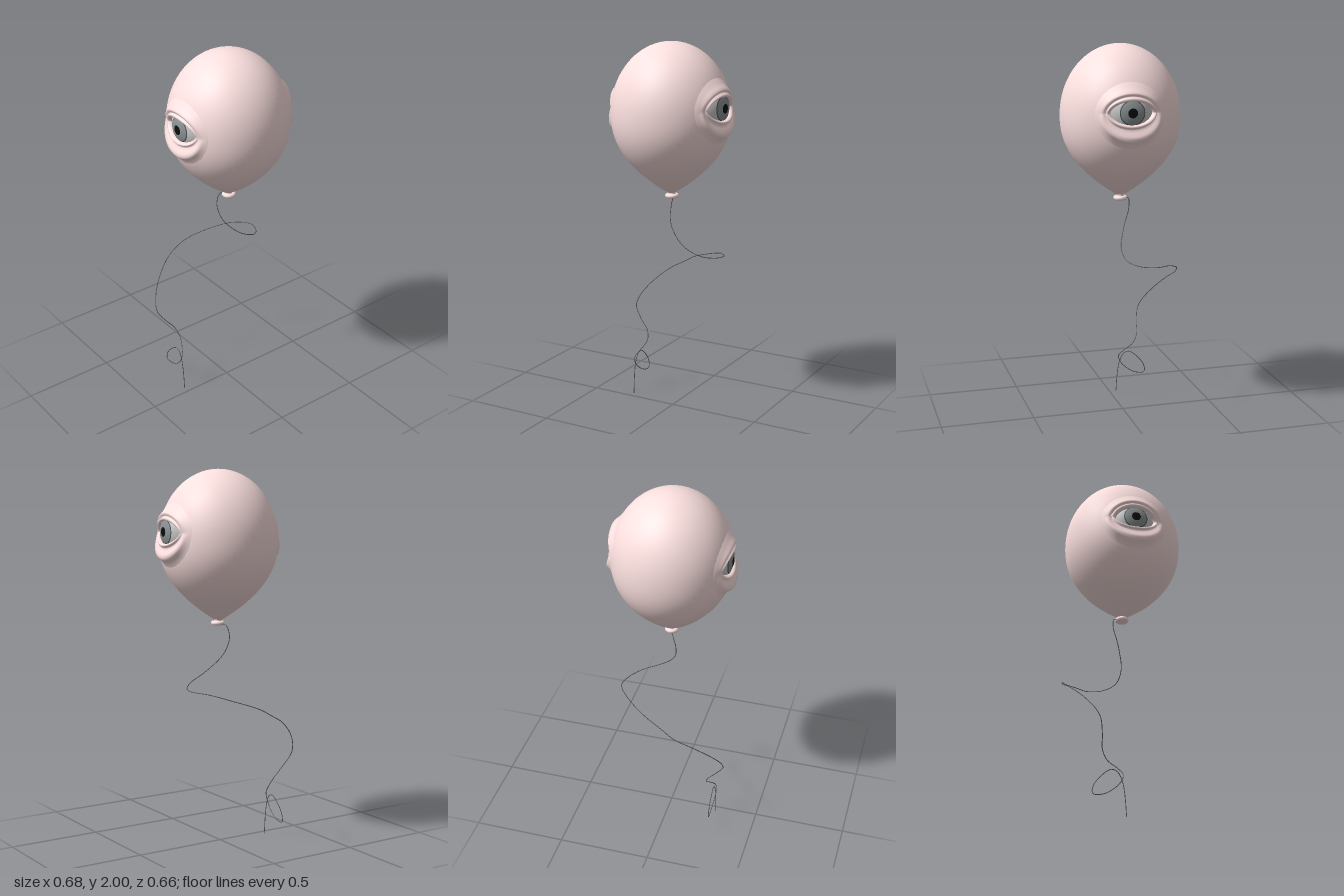
import * as THREE from 'three';

const mat = (color) => new THREE.MeshStandardMaterial({ color });
const skin = mat(0xfbe0df);
const CZ = 0.015; // balloon axis in z

// Balloon radius at height y: half ellipse above, tapering to a point below
function radius(y) {
  if (y > 1.63) return 0.315 * Math.sqrt(Math.max(0, 1 - ((y - 1.63) / 0.37) ** 2));
  return 0.315 * (1 - ((1.63 - y) / 0.435) ** 2.3);
}

// Eyes sit on both sides; turn = angle around the axis, push = extra protrusion
const eyes = [
  { name: 'left', side: 1, y: 1.675, turn: 0.07, push: 0.003 },
  { name: 'right', side: -1, y: 1.655, turn: 0.01, push: -0.008 },
];

function named(geometry, material, name) {
  const m = new THREE.Mesh(geometry, material);
  m.name = name;
  return m;
}

// Lathed balloon with an oval left open behind each eyelid patch
function balloonGeometry() {
  const pts = [];
  for (let i = 0; i < 22; i++) {
    const y = 1.2 + (0.43 * i) / 22;
    pts.push(new THREE.Vector2(radius(y), y));
  }
  for (let i = 0; i <= 22; i++) {
    const a = (i / 22) * Math.PI / 2;
    pts.push(new THREE.Vector2(0.315 * Math.cos(a), 1.63 + 0.37 * Math.sin(a)));
  }
  const g = new THREE.LatheGeometry(pts, 60);
  const p = g.attributes.position;
  const inEye = (i) => eyes.some((e) => {
    const x = p.getX(i) * e.side, z = p.getZ(i) * e.side;
    const u = (Math.atan2(z, x) - e.turn) * 0.316;
    const v = p.getY(i) - e.y + 0.02;
    return (u / 0.165) ** 2 + (v / 0.145) ** 2 < 1;
  });
  const src = g.index.array, keep = [];
  for (let k = 0; k < src.length; k += 3) {
    const tri = [src[k], src[k + 1], src[k + 2]];
    if (!tri.every(inEye)) keep.push(...tri);
  }
  g.setIndex(keep);
  return g.translate(0, 0, CZ);
}

// Eyelid rings: half width, top, bottom, relief at the top, bottom and corners
const lidRings = [
  [0.113, 0.058, 0.056, -0.045, -0.045, -0.045],
  [0.115, 0.059, 0.058, 0.004, 0.000, -0.014],
  [0.119, 0.063, 0.062, 0.016, 0.010, -0.006],
  [0.124, 0.070, 0.067, 0.023, 0.014, 0.001],
  [0.129, 0.077, 0.072, 0.022, 0.011, 0.003],
  [0.133, 0.082, 0.077, 0.012, 0.003, -0.001],
  [0.137, 0.087, 0.085, 0.014, 0.003, -0.001],
  [0.143, 0.094, 0.098, 0.023, 0.010, 0.003],
  [0.150, 0.102, 0.115, 0.024, 0.022, 0.005],
  [0.157, 0.111, 0.131, 0.018, 0.029, 0.005],
  [0.165, 0.121, 0.144, 0.012, 0.023, 0.004],
  [0.174, 0.133, 0.154, 0.006, 0.008, 0.003],
  [0.188, 0.147, 0.172, 0.002, 0.002, 0.001],
  [0.208, 0.162, 0.195, -0.004, -0.004, -0.004],
];

// Lids and bag wrapped around the balloon surface
function lidGeometry(eye) {
  const N = 72, pos = [], idx = [], last = lidRings.length - 1;
  lidRings.forEach(([a, top, bottom, dTop, dBottom, dCorner], i) => {
    const almond = 1 + 0.3 * (1 - i / last);
    const push = eye.push * (1 - i / last);
    for (let j = 0; j < N; j++) {
      const t = (j / N) * Math.PI * 2, s = Math.sin(t);
      const u = a * Math.cos(t);
      const v = Math.sign(s) * Math.abs(s) ** almond * (s > 0 ? top : bottom);
      const relief = THREE.MathUtils.lerp(dCorner, s > 0 ? dTop : dBottom, Math.abs(s));
      const y = eye.y + v, r = radius(y) + relief + push;
      const angle = u / 0.316 + eye.turn;
      pos.push(eye.side * r * Math.cos(angle), y, CZ + eye.side * r * Math.sin(angle));
      if (i) {
        const k = (j + 1) % N, b = (i - 1) * N, c = i * N;
        idx.push(b + j, b + k, c + j, b + k, c + k, c + j);
      }
    }
  });
  const g = new THREE.BufferGeometry();
  g.setAttribute('position', new THREE.Float32BufferAttribute(pos, 3));
  g.setIndex(idx);
  g.computeVertexNormals();
  return g;
}

// Eyeball built of nested spherical caps looking along +x
function eyeball(eye) {
  const R = 0.15, ball = new THREE.Group();
  ball.name = eye.name + 'Eyeball';
  const layers = [
    ['eyeWhite', 0.135, 0, 0xcdd1d1],
    ['irisRim', 0.064, 0.0012, 0x4a5052],
    ['iris', 0.059, 0.002, 0x8b9294],
    ['pupil', 0.024, 0.003, 0x0c0c0c],
  ];
  for (const [name, r, lift, color] of layers) {
    const g = new THREE.SphereGeometry(R + lift, 40, 12, 0, Math.PI * 2, 0, Math.asin(r / R));
    ball.add(named(g.rotateZ(-Math.PI / 2), mat(color), name));
  }
  const d = 0.322 + eye.push - R;
  ball.position.set(eye.side * d * Math.cos(eye.turn), eye.y + 0.003, CZ + eye.side * d * Math.sin(eye.turn));
  ball.rotation.y = (eye.side > 0 ? 0 : Math.PI) - eye.turn;
  return ball;
}

// Curling string with a small loop near its end
function stringGeometry() {
  const path = [
    [0, 1.19, -0.005], [-0.015, 1.18, -0.035], [-0.033, 1.12, -0.042], [-0.026, 1.05, -0.02],
    [0, 1.0, 0], [0.075, 0.93, 0.03], [0.17, 0.883, 0.022], [0.23, 0.864, -0.035],
    [0.25, 0.859, -0.11], [0.19, 0.848, -0.195], [0.09, 0.815, -0.265], [-0.035, 0.77, -0.315],
    [-0.105, 0.73, -0.328], [-0.185, 0.685, -0.31], [-0.285, 0.595, -0.255], [-0.335, 0.515, -0.205],
    [-0.34, 0.47, -0.183], [-0.295, 0.4, -0.163], [-0.25, 0.345, -0.152], [-0.235, 0.295, -0.125],
    [-0.253, 0.25, -0.077], [-0.272, 0.215, -0.052], [-0.278, 0.18, -0.06], [-0.275, 0.135, -0.1],
    [-0.27, 0.105, -0.155], [-0.27, 0.105, -0.203], [-0.27, 0.145, -0.2], [-0.27, 0.2, -0.16],
    [-0.27, 0.235, -0.11], [-0.27, 0.225, -0.08], [-0.272, 0.18, -0.057], [-0.272, 0.12, -0.045],
    [-0.272, 0, -0.035],
  ].map((p) => new THREE.Vector3(...p));
  return new THREE.TubeGeometry(new THREE.CatmullRomCurve3(path), 220, 0.0021, 6);
}

export function createModel() {
  const model = new THREE.Group();
  model.name = 'eyedBalloon';
  model.add(named(balloonGeometry(), skin, 'balloon'));

  for (const eye of eyes) {
    model.add(named(lidGeometry(eye), skin, eye.name + 'Eyelids'));
    model.add(eyeball(eye));
  }

  // Rolled knot under a short neck
  const neck = named(new THREE.CylinderGeometry(0.018, 0.02, 0.03, 20), skin, 'neck');
  neck.position.set(0.004, 1.197, CZ);
  const knot = named(new THREE.TorusGeometry(0.025, 0.012, 12, 24).rotateX(Math.PI / 2), skin, 'knot');
  knot.position.set(0.004, 1.19, CZ);
  model.add(neck, knot);

  model.add(named(stringGeometry(), mat(0x555555), 'string'));
  return model;
}
